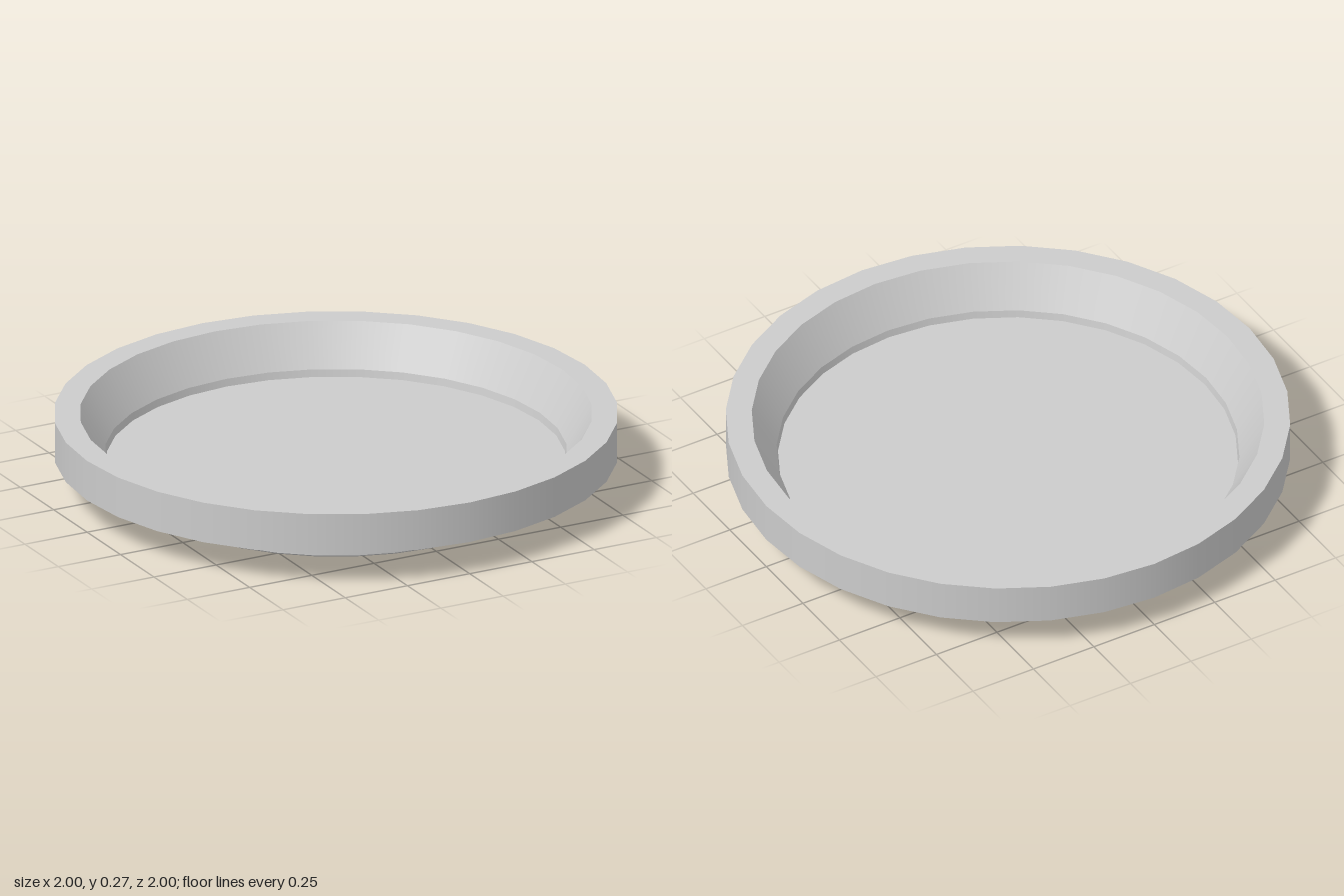
import * as THREE from 'three';
import { mergeGeometries } from 'three/addons/utils/BufferGeometryUtils.js';

const SIDES = 32;
const material = new THREE.MeshStandardMaterial({ color: 0xcccccc, side: THREE.DoubleSide });

// Turn a profile of [radius, height] points: smooth around, sharp at every profile corner.
function turned(name, profile) {
  const bands = [];
  for (let i = 0; i < profile.length - 1; i++) {
    const ends = [profile[i], profile[i + 1]].map(([r, y]) => new THREE.Vector2(r, y));
    bands.push(new THREE.LatheGeometry(ends, SIDES));
  }
  const mesh = new THREE.Mesh(mergeGeometries(bands), material);
  mesh.name = name;
  return mesh;
}

export function createModel() {
  const plate = new THREE.Group();
  plate.name = 'plate';

  // Lower foot with a flat underside and a slightly eased edge
  plate.add(turned('foot', [[0, 0], [0.715, 0], [0.722, 0.006], [0.722, 0.05]]));

  // Wider step above the foot, eased at its lower edge
  plate.add(turned('step', [[0.722, 0.05], [0.812, 0.05], [0.82, 0.064], [0.82, 0.12]]));

  // Raised rim: underside, outer wall, flat top and sloping inner wall
  plate.add(turned('rim', [[0.82, 0.12], [1, 0.12], [1, 0.27], [0.908, 0.27], [0.82, 0.12]]));

  // Sunken flat floor with a short wall up to the rim
  plate.add(turned('floor', [[0.82, 0.12], [0.815, 0.093], [0, 0.093]]));

  return plate;
}
